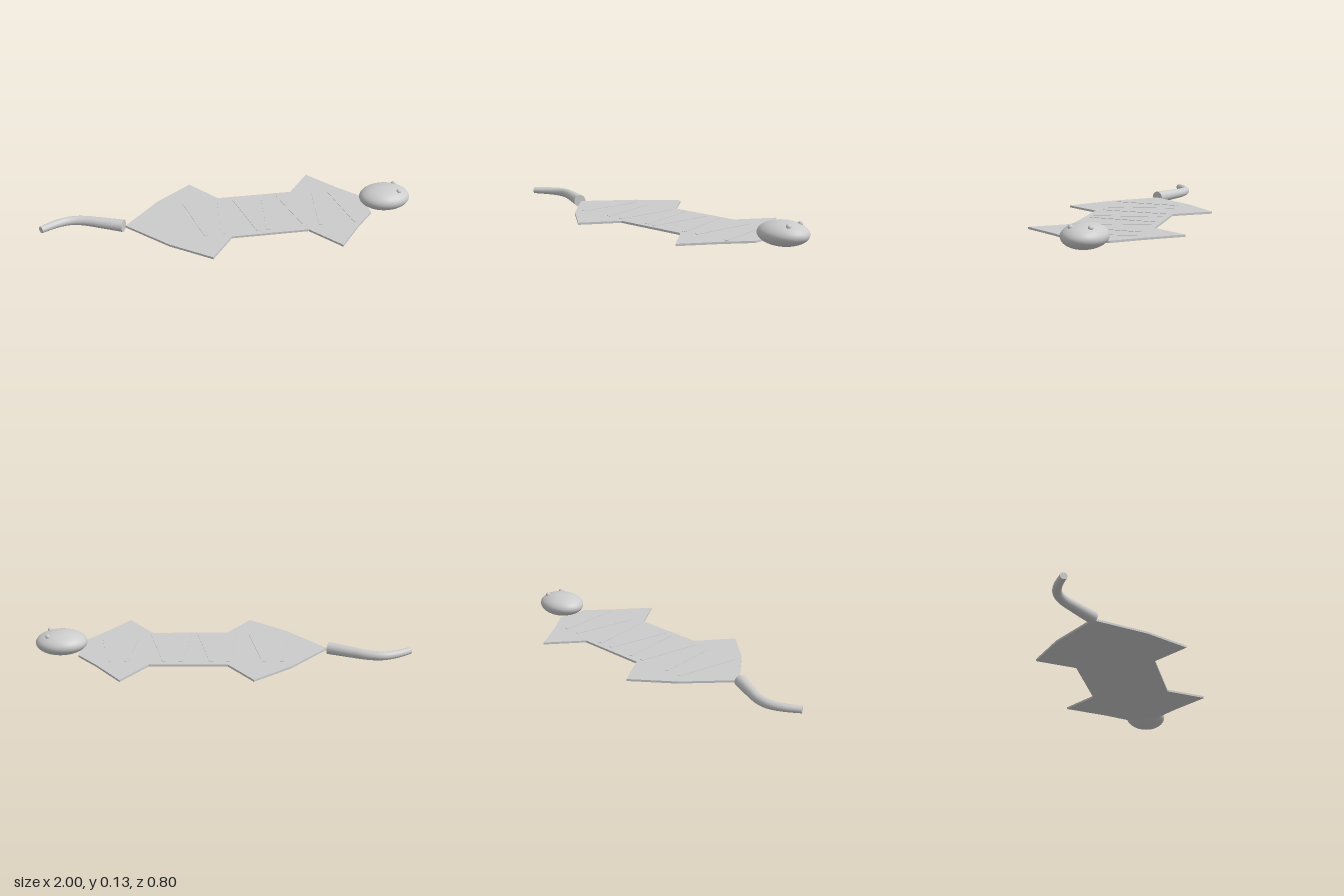
import * as THREE from 'three';

const material = new THREE.MeshStandardMaterial({ color: 0xcccccc });

function add(group, name, geometry, x = 0, y = 0, z = 0) {
  const mesh = new THREE.Mesh(geometry, material);
  mesh.name = name;
  mesh.position.set(x, y, z);
  group.add(mesh);
  return mesh;
}

// Round tube whose radius shrinks evenly along the path, closed at both ends
function taperedTube(curve, r0, r1, segments, sides) {
  const geometry = new THREE.TubeGeometry(curve, segments, 1, sides);
  const pos = geometry.attributes.position;
  const v = new THREE.Vector3();
  for (let i = 0; i < pos.count; i++) {
    const t = Math.floor(i / (sides + 1)) / segments;
    const centre = curve.getPointAt(t);
    v.fromBufferAttribute(pos, i).sub(centre).multiplyScalar(THREE.MathUtils.lerp(r0, r1, t)).add(centre);
    pos.setXYZ(i, v.x, v.y, v.z);
  }
  return geometry;
}

export function createModel() {
  const model = new THREE.Group();
  model.name = 'animalRug';

  // Flat hide: one half outline, mirrored across the spine
  const half = [
    [-0.55, 0], [-0.35, 0.235], [-0.15, 0.4], [-0.02, 0.213],
    [0.39, 0.213], [0.525, 0.4], [0.66, 0.215], [0.765, 0.09],
  ];
  const mirrored = half.slice(1).reverse().map(([x, z]) => [x, -z]);
  const outline = new THREE.Shape([...half, ...mirrored].map(([x, z]) => new THREE.Vector2(x, z)));
  const hide = new THREE.ExtrudeGeometry(outline, { depth: 0.011, bevelEnabled: false });
  hide.rotateX(-Math.PI / 2);
  add(model, 'hide', hide, 0, 0.025, 0);

  // Slanted stripes lying on the hide: x at the back end, x at the front end
  const stripes = [
    [-0.3, -0.345], [-0.21, -0.15], [-0.02, -0.06], [0.065, 0.13],
    [0.225, 0.18], [0.31, 0.385], [0.51, 0.465], [0.6, 0.655],
  ];
  for (const [back, front] of stripes) {
    const length = Math.hypot(front - back, 0.36);
    const stripe = add(model, 'stripe', new THREE.BoxGeometry(0.02, 0.006, length), (back + front) / 2, 0.035, 0);
    stripe.rotation.y = Math.atan2(front - back, 0.36);
  }

  // Head and eyes
  const head = new THREE.SphereGeometry(1, 40, 28);
  head.scale(0.137, 0.062, 0.113);
  add(model, 'head', head, 0.863, 0.075, 0);
  for (const side of [-1, 1]) {
    add(model, 'eye', new THREE.SphereGeometry(0.013, 16, 12), 0.928, 0.124, side * 0.048);
  }

  // Curved tail with end discs
  const path = new THREE.CatmullRomCurve3(
    [[-0.56, 0], [-0.68, -0.058], [-0.77, -0.097], [-0.84, -0.105], [-0.91, -0.083], [-0.99, -0.036]]
      .map(([x, z]) => new THREE.Vector3(x, 0.036, z)));
  add(model, 'tail', taperedTube(path, 0.033, 0.018, 32, 20));
  for (const [t, radius, sign] of [[0, 0.033, -1], [1, 0.018, 1]]) {
    const cap = add(model, 'tailEnd', new THREE.CircleGeometry(radius, 20));
    cap.position.copy(path.getPointAt(t));
    cap.quaternion.setFromUnitVectors(new THREE.Vector3(0, 0, 1), path.getTangentAt(t).multiplyScalar(sign));
  }

  return model;
}
